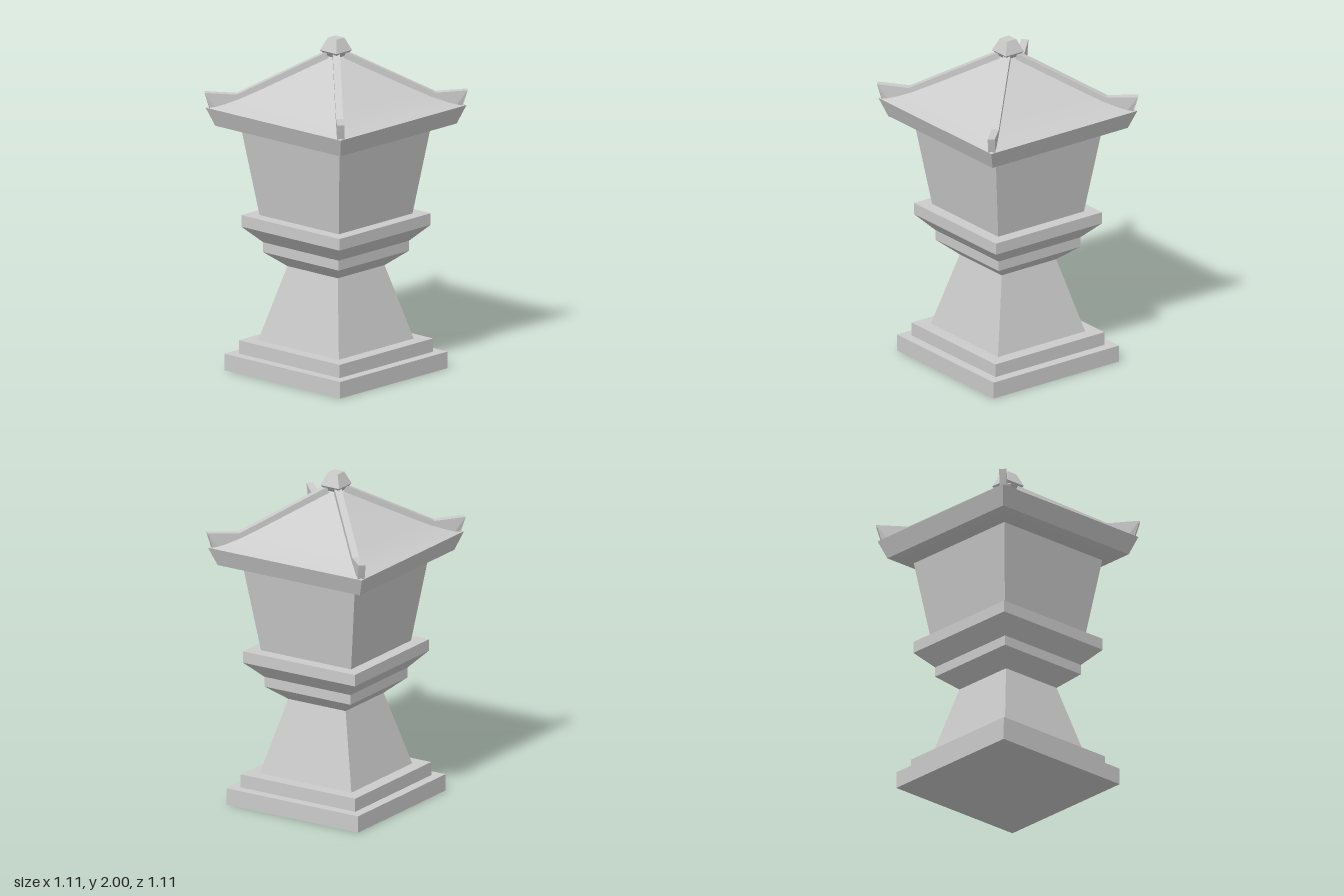
import * as THREE from 'three';
import { toCreasedNormals } from 'three/addons/utils/BufferGeometryUtils.js';

const material = new THREE.MeshStandardMaterial({ color: 0xcccccc });

// Square solid from a [half width, height] profile, listed bottom to top
function squareSolid(name, profile, crease = 0.1) {
  const points = [[0, profile[0][1]], ...profile, [0, profile[profile.length - 1][1]]]
    .map(([half, y]) => new THREE.Vector2(half * Math.SQRT2, y));
  const geometry = new THREE.LatheGeometry(points, 4, Math.PI / 4);
  const mesh = new THREE.Mesh(toCreasedNormals(geometry, crease), material);
  mesh.name = name;
  return mesh;
}

// Diagonal hip ridge with an upturned end, profile in [corner offset, height]
function hipRidge(index) {
  const profile = [
    [0.03, 1.87], [0.4, 1.62], [0.48, 1.56], [0.485, 1.48], [0.493, 1.48],
    [0.522, 1.585], [0.542, 1.68], [0.41, 1.667], [0.04, 1.918],
  ];
  const shape = new THREE.Shape(profile.map(([d, y]) => new THREE.Vector2(d * Math.SQRT2, y)));
  const width = 0.042;
  const geometry = new THREE.ExtrudeGeometry(shape, { depth: width, bevelEnabled: false });
  geometry.translate(0, 0, -width / 2);

  // Narrow the lower end to a point at the eave corner
  const pos = geometry.attributes.position;
  for (let i = 0; i < pos.count; i++) {
    if (pos.getY(i) < 1.5) pos.setZ(i, pos.getZ(i) * 0.15);
  }
  const mesh = new THREE.Mesh(toCreasedNormals(geometry, 0.1), material);
  mesh.name = `hipRidge${index + 1}`;
  mesh.rotation.y = Math.PI / 4 + index * Math.PI / 2;
  return mesh;
}

export function createModel() {
  const lantern = new THREE.Group();
  lantern.name = 'stoneLantern';

  // Stepped base and tapering pedestal
  lantern.add(
    squareSolid('lowerBase', [[0.46, 0], [0.46, 0.1]]),
    squareSolid('upperBase', [[0.4, 0.1], [0.4, 0.18]]),
    squareSolid('pedestal', [[0.32, 0.18], [0.2, 0.625]]),
  );

  // Flared platform and lamp chamber
  lantern.add(
    squareSolid('platform', [
      [0.2, 0.625], [0.3, 0.71], [0.3, 0.77], [0.39, 0.865], [0.39, 0.935],
    ]),
    squareSolid('lampChamber', [[0.315, 0.935], [0.388, 1.44]]),
  );

  // Roof with sloping fascia and a slightly concave top
  lantern.add(squareSolid('roof', [
    [0.388, 1.44], [0.497, 1.475], [0.537, 1.585],
    [0.475, 1.609], [0.41, 1.642], [0.34, 1.686], [0.03, 1.893],
  ], 0.35));

  // Four corner ridges
  const ridges = new THREE.Group();
  ridges.name = 'hipRidges';
  for (let i = 0; i < 4; i++) ridges.add(hipRidge(i));
  lantern.add(ridges);

  // Faceted cap at the peak
  lantern.add(squareSolid('finial', [[0.033, 1.885], [0.066, 1.925], [0.034, 2]]));

  return lantern;
}
